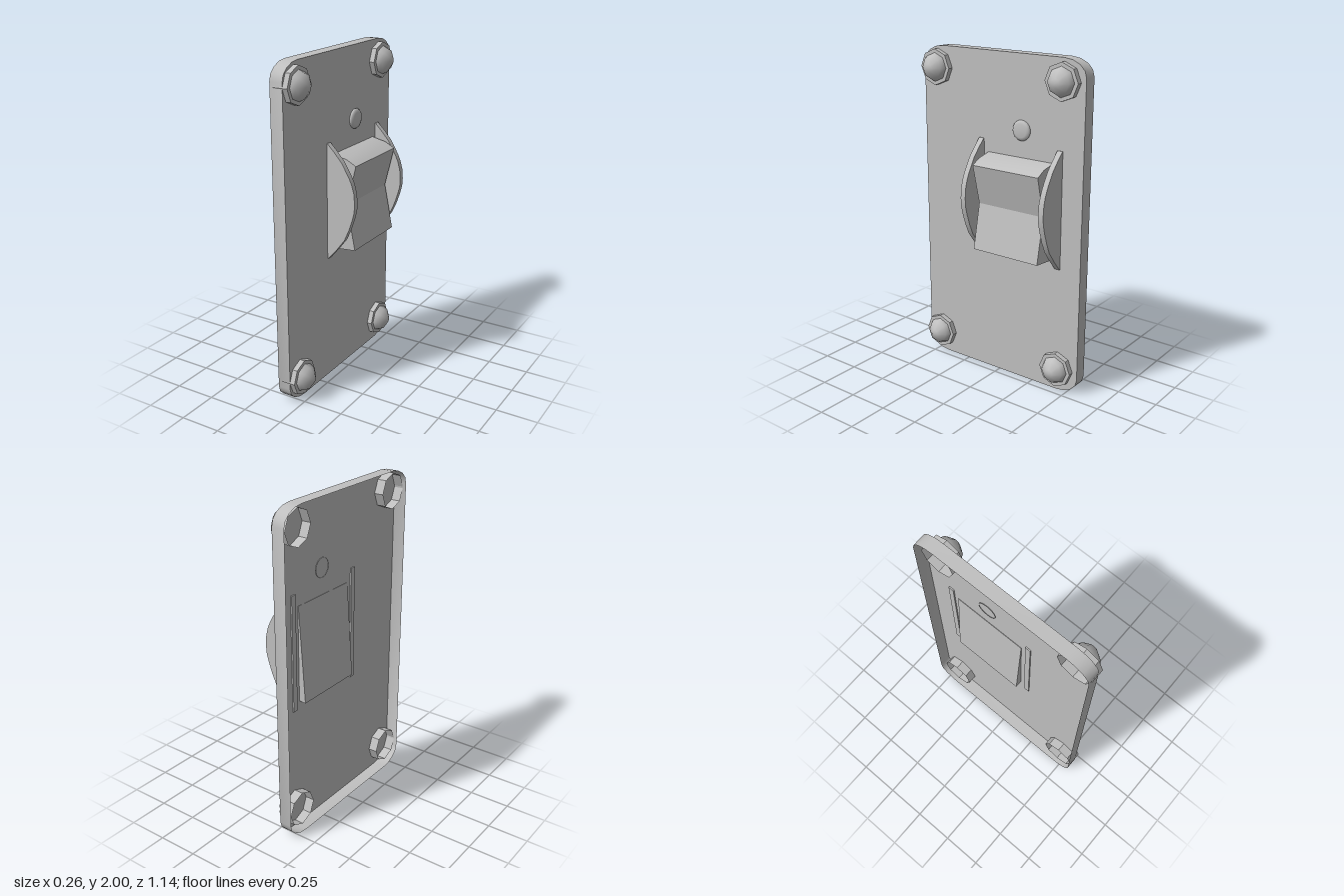
import * as THREE from 'three';
import { toCreasedNormals } from 'three/addons/utils/BufferGeometryUtils.js';

const grey = new THREE.MeshStandardMaterial({ color: 0xc0c0c0, side: THREE.DoubleSide });
grey.name = 'plain grey';

function add(parent, name, geometry, crease = 0.6) {
  const mesh = new THREE.Mesh(toCreasedNormals(geometry, crease), grey);
  mesh.name = name;
  parent.add(mesh);
  return mesh;
}

// side profile in x, y, extruded between two z positions
function slab(points, z0, z1) {
  const shape = new THREE.Shape(points.map(([x, y]) => new THREE.Vector2(x, y)));
  return new THREE.ExtrudeGeometry(shape, { depth: z1 - z0, bevelEnabled: false }).translate(0, 0, z0);
}

// profile of [radius, height] turned around the facing axis
function turned(points, sides) {
  return new THREE.LatheGeometry(points.map(([r, h]) => new THREE.Vector2(r, h)), sides).rotateX(Math.PI / 2);
}

// counter-clockwise plate outline with rounded corners
function plateOutline(halfWidth, halfHeight, cornerX, cornerY, steps) {
  const points = [];
  [[1, 1], [-1, 1], [-1, -1], [1, -1]].forEach(([sx, sy], corner) => {
    for (let i = 0; i <= steps; i++) {
      const a = (corner + i / steps) * Math.PI / 2;
      points.push(new THREE.Vector2(
        sx * (halfWidth - cornerX) + cornerX * Math.cos(a),
        1 + sy * (halfHeight - cornerY) + cornerY * Math.sin(a)));
    }
  });
  return points;
}

// open wall following an outline from back to front
function wall(outline, back, front) {
  const positions = [];
  outline.forEach((p, i) => {
    const q = outline[(i + 1) % outline.length];
    positions.push(
      p.x, p.y, back, q.x, q.y, back, q.x, q.y, front,
      p.x, p.y, back, q.x, q.y, front, p.x, p.y, front);
  });
  const geometry = new THREE.BufferGeometry();
  geometry.setAttribute('position', new THREE.Float32BufferAttribute(positions, 3));
  return geometry;
}

export function createModel() {
  const model = new THREE.Group();
  model.name = 'wallSwitch';

  // parts built facing +z, then turned to face +x
  const facing = new THREE.Group();
  facing.name = 'coverPlate';
  facing.rotation.y = Math.PI / 2;
  model.add(facing);

  // hollow plate, open at the back
  const outline = plateOutline(0.571, 1, 0.145, 0.1, 4);
  add(facing, 'plateFace', new THREE.ShapeGeometry(new THREE.Shape(outline)).translate(0, 0, -0.052));
  add(facing, 'plateRim', wall(outline, -0.132, -0.052));

  // corner bolts with open-backed octagonal washers
  for (const x of [-0.465, 0.432]) {
    for (const y of [0.142, 1.872]) {
      const bolt = new THREE.Group();
      bolt.name = 'bolt';
      bolt.position.set(x, y, 0);
      facing.add(bolt);
      add(bolt, 'washer', turned([[0.108, -0.11], [0.108, -0.02], [0.08, -0.02]], 8));
      add(bolt, 'boltHead', turned([[0.086, -0.021], [0.07, 0.012], [0.025, 0.041], [0, 0.044]], 8), 0.9);
    }
  }

  // round indicator lamp
  add(facing, 'indicatorLamp',
    turned([[0.058, -0.055], [0.061, -0.045], [0.055, -0.036], [0.04, -0.032], [0, -0.031]], 20), 1)
    .position.set(0.155, 1.565, 0);

  // rocker with a shallow V front and a slanted back
  add(model, 'rocker', slab([
    [-0.055, 1.405], [-0.095, 0.82], [0.095, 0.835], [0.04, 1.11], [0.1, 1.353], [0.04, 1.385],
  ], -0.372, 0.086), 0.3);

  // curved guards on both sides of the rocker
  const guard = [
    [-0.06, 1.483], [-0.06, 0.778], [-0.048, 0.778], [0.01, 0.845], [0.063, 0.915], [0.092, 0.98],
    [0.116, 1.05], [0.129, 1.1], [0.132, 1.15], [0.127, 1.21], [0.113, 1.26],
    [0.095, 1.30], [0.048, 1.38], [0, 1.435], [-0.048, 1.483],
  ];
  for (const [z0, z1] of [[0.119, 0.153], [-0.434, -0.4]]) add(model, 'sideGuard', slab(guard, z0, z1));

  return model;
}
